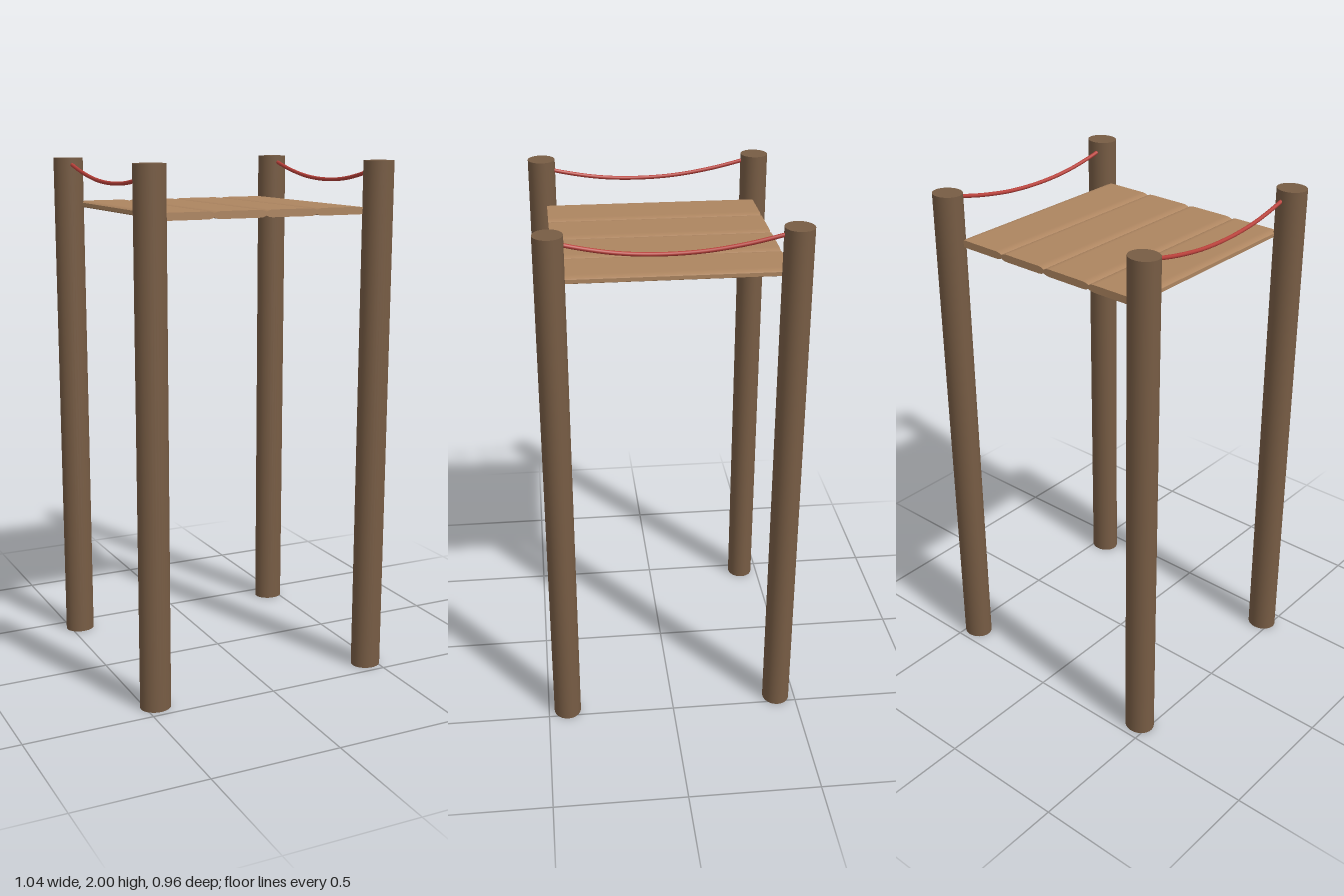
import * as THREE from 'three';

const postMaterial = new THREE.MeshStandardMaterial({ color: 0x775c44 });
const plankMaterial = new THREE.MeshStandardMaterial({ color: 0xad8560 });
const ropeMaterial = new THREE.MeshStandardMaterial({ color: 0xb8403a });

function addMesh(parent, name, geometry, material, x = 0, y = 0, z = 0) {
  const mesh = new THREE.Mesh(geometry, material);
  mesh.name = name;
  mesh.position.set(x, y, z);
  parent.add(mesh);
  return mesh;
}

// Plank cross-section: flat faces with edges tapering to a thinner rim
function plankGeometry(width, height, length) {
  const w = width / 2, h = height / 2, rim = h * 0.5, bevel = 0.028;
  const shape = new THREE.Shape();
  shape.moveTo(-w, -rim);
  shape.quadraticCurveTo(-w + bevel * 0.4, -h, -w + bevel, -h);
  shape.lineTo(w - bevel, -h);
  shape.quadraticCurveTo(w - bevel * 0.4, -h, w, -rim);
  shape.lineTo(w, rim);
  shape.quadraticCurveTo(w - bevel * 0.4, h, w - bevel, h);
  shape.lineTo(-w + bevel, h);
  shape.quadraticCurveTo(-w + bevel * 0.4, h, -w, rim);
  const geometry = new THREE.ExtrudeGeometry(shape, { depth: length, bevelEnabled: false, curveSegments: 5 });
  return geometry.translate(0, 0, -length / 2);
}

export function createModel() {
  const model = new THREE.Group();
  model.name = 'platformTower';

  // Four tall posts, slightly oval in plan
  const post = new THREE.CylinderGeometry(1, 1, 2, 32).scale(0.059, 1, 0.053);
  for (const [side, sx] of [['left', 1], ['right', -1]]) {
    for (const [end, sz] of [['Front', 1], ['Back', -1]]) {
      addMesh(model, `${side}${end}Post`, post, postMaterial, sx * 0.46, 1, sz * 0.425);
    }
  }

  // Deck of four planks running front to back
  const deck = new THREE.Group();
  deck.name = 'deck';
  model.add(deck);
  const plankWidth = 0.208;
  const plank = plankGeometry(plankWidth, 0.028, 0.826);
  for (let i = 0; i < 4; i++) {
    addMesh(deck, `plank${i + 1}`, plank, plankMaterial, (i - 1.5) * plankWidth, 1.816, -0.002);
  }

  // Sagging side ropes, ends buried in the posts
  const sag = [[0.42, 1.972], [0.37, 1.957], [0.21, 1.927], [0.06, 1.917], [-0.1, 1.923], [-0.25, 1.945], [-0.37, 1.972], [-0.42, 1.985]];
  for (const [side, sx] of [['left', 1], ['right', -1]]) {
    const path = new THREE.CatmullRomCurve3(
      sag.map(([z, y]) => new THREE.Vector3(sx * (0.454 - z * 0.019), y, z)));
    addMesh(model, `${side}Rope`, new THREE.TubeGeometry(path, 40, 0.0075, 10), ropeMaterial);
  }

  return model;
}
